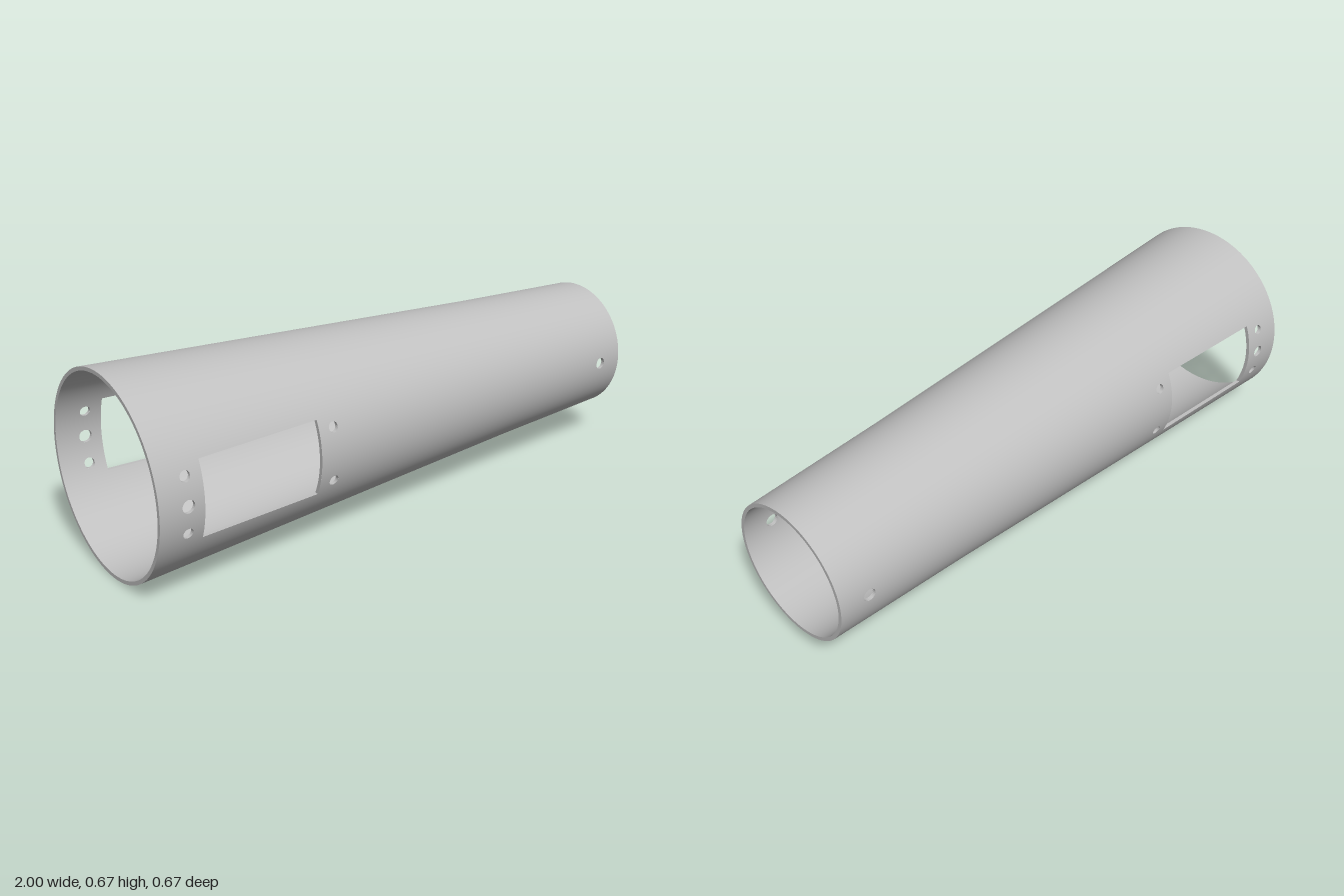
import * as THREE from 'three';

const WALL = 0.0125, CENTER_Y = 0.333, H = 0.1235, N = 6, ARC = 44;
const PROFILE = [[-1, 0.3325], [0, 0.28], [0.5, 0.254], [1, 0.2335]];
const COLS = [-1, -0.955, -0.85, -0.425, -0.315, 0, 0.5, 0.845, 0.945, 1];
const ROWS = [-H, -0.05, 0.05, H];
const HOLES = [ // x, height from axis, radius
  [-0.904, -0.089, 0.017], [-0.904, 0, 0.021], [-0.904, 0.089, 0.017],
  [-0.37, -0.089, 0.017], [-0.37, 0.089, 0.017], [0.896, 0, 0.021],
];
const lerp = THREE.MathUtils.lerp;

// outer radius along the axis
function radius(x) {
  let i = 0;
  while (i < PROFILE.length - 2 && x > PROFILE[i + 1][0]) i++;
  const [a, b] = [PROFILE[i], PROFILE[i + 1]];
  return lerp(a[1], b[1], (x - a[0]) / (b[0] - a[0]));
}

// point on the side panel, at a height h from the axis
function sidePoint(x, h, inset) {
  const r = radius(x) - inset;
  return new THREE.Vector3(x, h, Math.sqrt(r * r - h * h));
}

// point on the arc over the top, t from the front panel to the back panel
function arcPoint(x, t, inset) {
  const r = radius(x) - inset, a0 = Math.asin(H / r);
  const a = lerp(a0, Math.PI - a0, t);
  return new THREE.Vector3(x, r * Math.sin(a), r * Math.cos(a));
}

// collects triangles; smooth is +1 outside, -1 inside, 0 for flat faces
class Surface {
  constructor(smooth) { this.smooth = smooth; this.pos = []; this.nor = []; }
  tri(a, b, c) {
    const flat = b.clone().sub(a).cross(c.clone().sub(a)).normalize();
    for (const p of [a, b, c]) {
      const n = this.smooth
        ? new THREE.Vector3(0, p.y, p.z).normalize().setX(0.05).normalize().multiplyScalar(this.smooth)
        : flat;
      this.pos.push(p.x, p.y, p.z);
      this.nor.push(n.x, n.y, n.z);
    }
  }
  sheet(nu, nv, f, flip = false) {
    for (let i = 0; i < nu; i++) for (let j = 0; j < nv; j++) {
      const a = f(i / nu, j / nv), b = f((i + 1) / nu, j / nv);
      const c = f((i + 1) / nu, (j + 1) / nv), d = f(i / nu, (j + 1) / nv);
      if (flip) { this.tri(a, c, b); this.tri(a, d, c); }
      else { this.tri(a, b, c); this.tri(a, c, d); }
    }
  }
  geometry() {
    const g = new THREE.BufferGeometry();
    g.setAttribute('position', new THREE.Float32BufferAttribute(this.pos, 3));
    g.setAttribute('normal', new THREE.Float32BufferAttribute(this.nor, 3));
    return g;
  }
}

// counter-clockwise walk around a rectangle, s from 0 to 1
function around(x0, x1, h0, h1, s) {
  const k = (s * 4) % 4, e = Math.floor(k + 1e-9), t = Math.max(0, k - e);
  if (e === 0) return [lerp(x0, x1, t), h0];
  if (e === 1) return [x1, lerp(h0, h1, t)];
  if (e === 2) return [lerp(x1, x0, t), h1];
  return [x0, lerp(h1, h0, t)];
}

// rim of a hole, in line with the point p
function rim([hx, hh, r], p) {
  const dx = p[0] - hx, dh = p[1] - hh, k = r / Math.hypot(dx, dh);
  return [hx + dx * k, hh + dh * k];
}

// one half of the inner or outer skin
function skin(inset, sign) {
  const s = new Surface(sign), flip = sign < 0;
  for (let c = 0; c < COLS.length - 1; c++) {
    const x0 = COLS[c], x1 = COLS[c + 1];
    s.sheet(N, ARC, (u, v) => arcPoint(lerp(x0, x1, u), v, inset), flip);
    if (c === 2) continue; // open window
    for (let r = 0; r < ROWS.length - 1; r++) {
      const h0 = ROWS[r], h1 = ROWS[r + 1];
      const hole = HOLES.find(o => o[0] > x0 && o[0] < x1 && o[1] > h0 && o[1] < h1);
      if (!hole) {
        s.sheet(N, N, (u, v) => sidePoint(lerp(x0, x1, u), lerp(h0, h1, v), inset), flip);
        continue;
      }
      s.sheet(4, 4 * N, (u, v) => {
        const p = around(x0, x1, h0, h1, v), q = rim(hole, p);
        return sidePoint(lerp(q[0], p[0], u), lerp(q[1], p[1], u), inset);
      }, flip);
    }
  }
  return s.geometry();
}

// cut faces through the wall: window, holes and both tube ends
function cutFaces() {
  const s = new Surface(0);
  const [x0, x1] = [COLS[2], COLS[3]];
  s.sheet(64, 1, (u, v) => sidePoint(...around(x0, x1, -H, H, u), v * WALL));
  for (const hole of HOLES) {
    const [x, h] = hole;
    s.sheet(4 * N, 1, (u, v) =>
      sidePoint(...rim(hole, around(x - 1, x + 1, h - 1, h + 1, u)), v * WALL));
  }
  for (const x of [-1, 1]) {
    s.sheet(3 * N, 1, (u, v) => sidePoint(x, lerp(-H, H, u), v * WALL), x > 0);
    s.sheet(ARC, 1, (u, v) => arcPoint(x, u, v * WALL), x > 0);
  }
  return s.geometry();
}

export function createModel() {
  const model = new THREE.Group();
  model.name = 'taperedTube';
  const grey = new THREE.MeshStandardMaterial({ color: 0xc0c0c0 });
  grey.name = 'lightGrey';
  const parts = { outerSkin: skin(0, 1), innerSkin: skin(WALL, -1), cutEdges: cutFaces() };

  // two equal halves, turned about the tube axis
  for (const [name, turn] of [['frontHalf', 0], ['backHalf', Math.PI]]) {
    const half = new THREE.Group();
    half.name = name;
    half.rotation.x = turn;
    half.position.y = CENTER_Y;
    for (const [part, geometry] of Object.entries(parts)) {
      const mesh = new THREE.Mesh(geometry, grey);
      mesh.name = part;
      half.add(mesh);
    }
    model.add(half);
  }
  return model;
}
